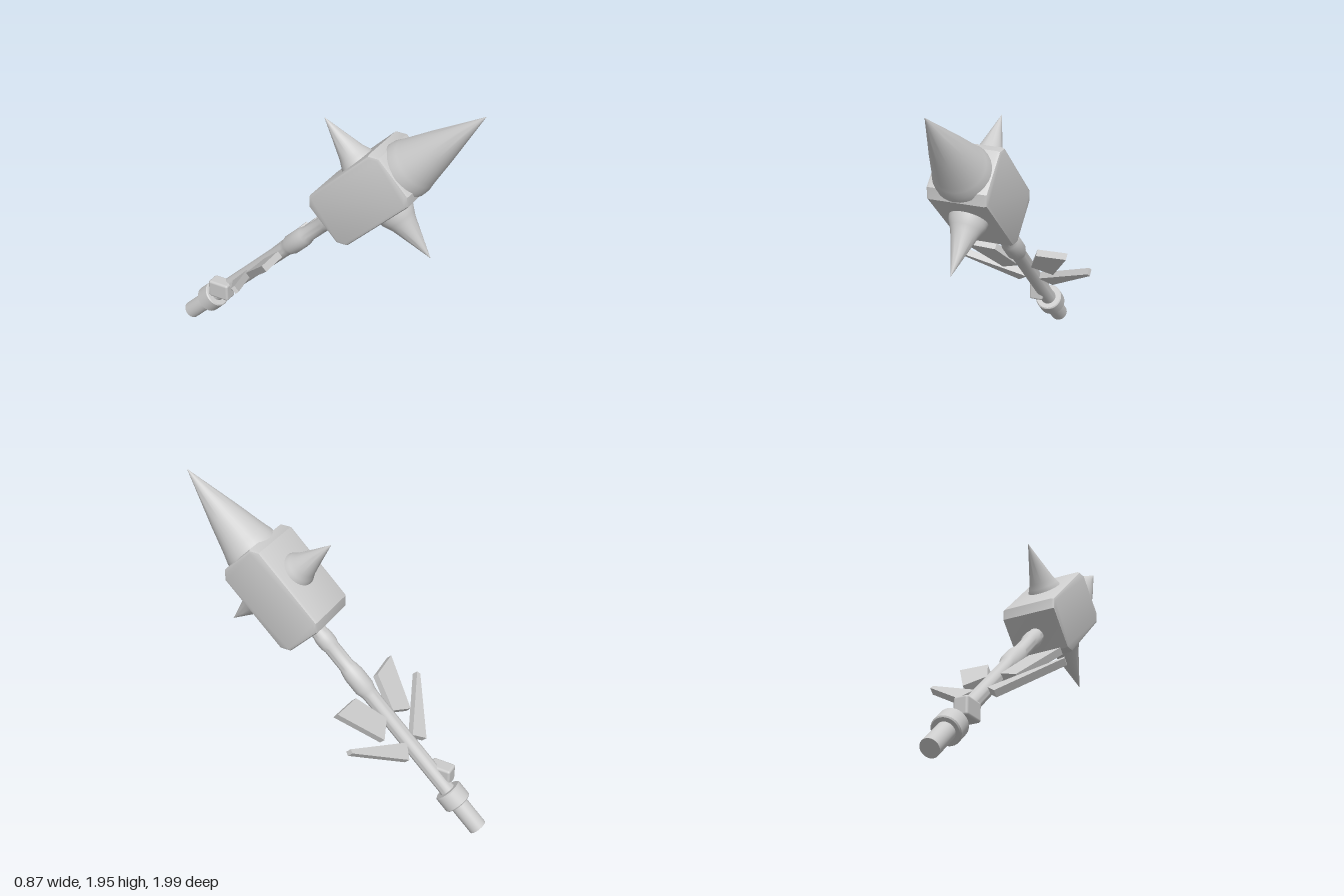
import * as THREE from 'three';
import { toCreasedNormals } from 'three/addons/utils/BufferGeometryUtils.js';
import { RoundedBoxGeometry } from 'three/addons/geometries/RoundedBoxGeometry.js';

const grey = new THREE.MeshStandardMaterial({ color: 0xcccccc });
grey.name = 'plainGrey';

function part(parent, name, geometry, x = 0, y = 0, z = 0) {
  const mesh = new THREE.Mesh(geometry, grey);
  mesh.name = name;
  mesh.position.set(x, y, z);
  parent.add(mesh);
  return mesh;
}

// Turned part from [radius, height] pairs, listed bottom to top
function turned(profile) {
  const points = profile.map(([r, h]) => new THREE.Vector2(r, h));
  return toCreasedNormals(new THREE.LatheGeometry(points, 32), 0.6);
}

function polygon(corners) {
  return new THREE.Shape(corners.map(([x, y]) => new THREE.Vector2(x, y)));
}

export function createModel() {
  const model = new THREE.Group();
  model.name = 'spikedMaul';

  // Weapon built upright along y, then leaned forward and turned slightly
  const weapon = new THREE.Group();
  weapon.name = 'leaningWeapon';
  weapon.rotation.set(0.8, 0.104, 0, 'YXZ');
  weapon.position.set(-0.07, 0.045, -0.9625);
  model.add(weapon);

  // Handle with swollen collars
  part(weapon, 'handle', turned([
    [0, 0], [0.056, 0], [0.056, 0.25], [0.047, 0.32], [0.047, 1.04],
    [0.052, 1.07], [0.062, 1.1], [0.062, 1.2], [0.056, 1.24], [0.048, 1.27],
    [0.048, 1.41], [0.056, 1.44], [0.056, 1.49], [0.05, 1.52], [0.05, 1.6],
  ]));
  part(weapon, 'gripRing', turned([
    [0, 0.193], [0.08, 0.193], [0.087, 0.2], [0.087, 0.292], [0.08, 0.299], [0, 0.299],
  ]));

  // Hammer head: block with chamfered end edges
  const bevel = 0.02, c = 0.048;
  const [a0, a1, t0, t1] = [-0.162, 0.195, 1.549, 2.157];
  const headShape = polygon([
    [a0 + c, t0], [a1 - c, t0], [a1, t0 + c], [a1, t1 - c],
    [a1 - c, t1], [a0 + c, t1], [a0, t1 - c], [a0, t0 + c],
  ]);
  const headGeometry = new THREE.ExtrudeGeometry(headShape, {
    depth: 0.32, bevelEnabled: true, bevelSize: bevel, bevelThickness: bevel,
    bevelOffset: -bevel, bevelSegments: 2,
  });
  headGeometry.translate(0, 0, -0.16);
  headGeometry.rotateY(Math.PI / 2);
  part(weapon, 'hammerHead', toCreasedNormals(headGeometry, 0.5));

  // Large end spike
  part(weapon, 'endSpike', turned([
    [0.168, 2.13], [0.165, 2.17], [0.152, 2.21], [0.143, 2.24], [0.1, 2.4], [0.05, 2.57], [0, 2.741],
  ]));

  // Front and rear spikes
  for (const side of [1, -1]) {
    const spike = part(weapon, side > 0 ? 'frontSpike' : 'rearSpike', turned([
      [0.115, 0.15], [0.107, 0.19], [0.092, 0.22], [0.078, 0.25], [0.04, 0.37], [0, 0.5],
    ]), 0, 1.893, 0);
    spike.rotation.x = side * Math.PI / 2;
  }

  // Two pairs of flat blades
  const blades = {
    LowerBlade: [[0.115, 0.61], [0.434, 0.9], [0.425, 0.925], [0.04, 0.69]],
    UpperBlade: [[0.17, 0.805], [0.332, 1.115], [0.135, 1.1], [0.042, 0.88]],
  };
  for (const [name, corners] of Object.entries(blades)) {
    for (const side of [1, -1]) {
      const shape = polygon(corners.map(([x, y]) => [side * x, y]));
      const geometry = new THREE.ExtrudeGeometry(shape, { depth: 0.043, bevelEnabled: false });
      part(weapon, (side > 0 ? 'left' : 'right') + name, geometry, 0, 0, -0.025);
    }
  }

  // Small rounded block on the handle, kept level
  const block = part(model, 'handleBlock',
    new RoundedBoxGeometry(0.09, 0.115, 0.145, 3, 0.015), -0.08, 0.338, -0.682);
  block.rotation.y = 0.104;

  return model;
}
